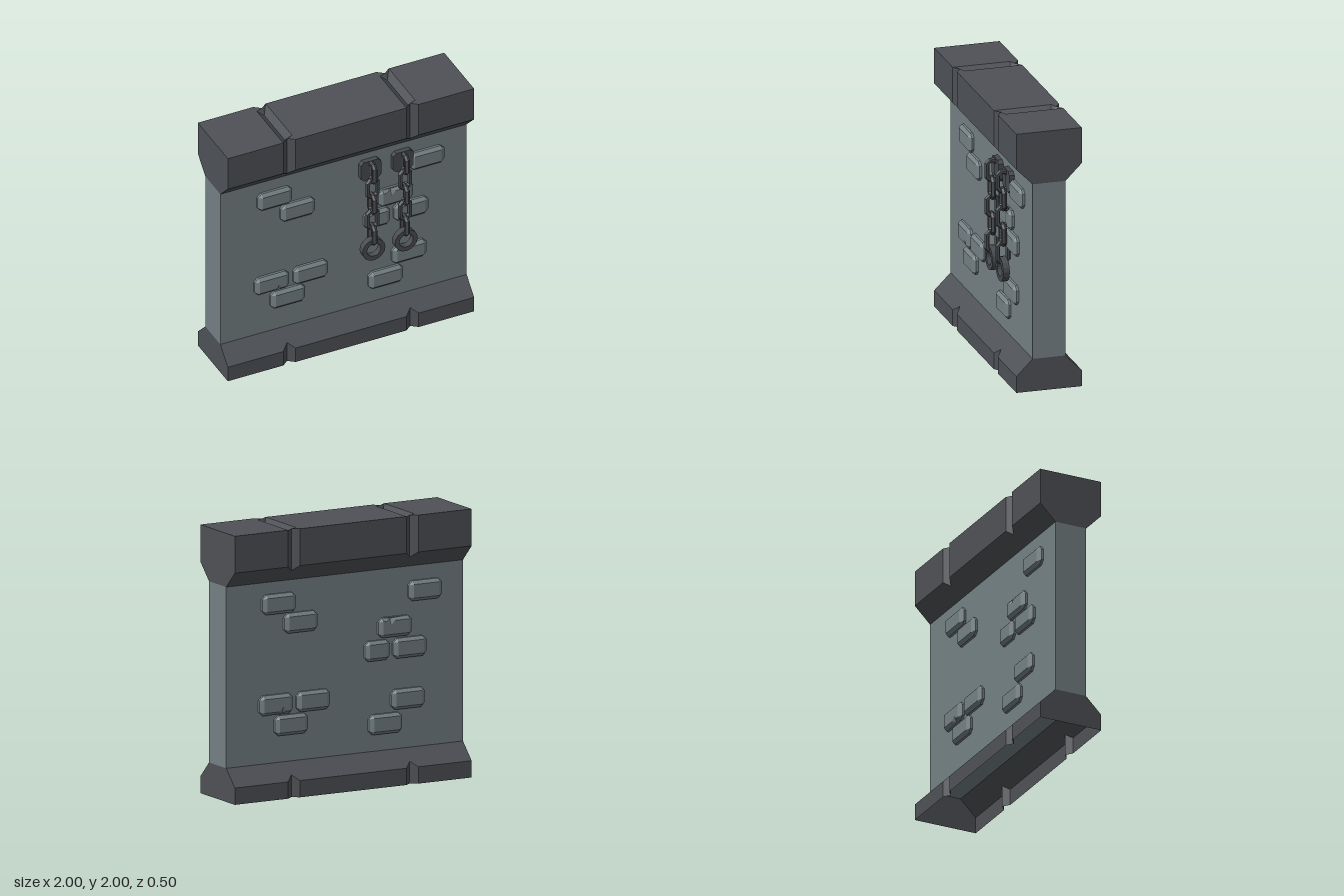
import * as THREE from 'three';

const wallStone = new THREE.MeshStandardMaterial({ color: 0x748084 });
const trimStone = new THREE.MeshStandardMaterial({ color: 0x4e5156, side: THREE.DoubleSide });
const iron = new THREE.MeshStandardMaterial({ color: 0x484b4f });

// Flat-shaded geometry from polygons (each a list of [x, y, z], counter-clockwise and convex)
function facets(polys) {
  const pos = [];
  for (const p of polys)
    for (let i = 1; i < p.length - 1; i++) pos.push(...p[0], ...p[i], ...p[i + 1]);
  const g = new THREE.BufferGeometry();
  g.setAttribute('position', new THREE.Float32BufferAttribute(pos, 3));
  g.computeVertexNormals();
  return g;
}

function flat(geometry) {
  const g = geometry.index ? geometry.toNonIndexed() : geometry;
  g.computeVertexNormals();
  return g;
}

function add(parent, name, geometry, material, x = 0, y = 0, z = 0) {
  const mesh = new THREE.Mesh(geometry, material);
  mesh.name = name;
  mesh.position.set(x, y, z);
  parent.add(mesh);
  return mesh;
}

// Front half of a trim course: a [z, y] profile swept along x, pinched at two grooves
function trimHalf(profile, hub) {
  const stations = [-1, -0.55, -0.5, -0.45, 0.45, 0.5, 0.55, 1];
  const rows = stations.map((x) => profile(Math.abs(x) === 0.5).map(([z, y]) => [x, y, z]));
  const polys = [];
  for (let i = 0; i < rows.length - 1; i++)
    for (let j = 0; j < rows[0].length - 1; j++)
      polys.push([rows[i][j], rows[i + 1][j], rows[i + 1][j + 1], rows[i][j + 1]]);
  // End faces
  const end = profile(false);
  if (end[end.length - 1][0] > 0) end.push([0, end[end.length - 1][1]]);
  for (let j = 0; j < end.length - 1; j++) {
    const [a, b] = [end[j], end[j + 1]];
    polys.push([[-1, hub, 0], [-1, a[1], a[0]], [-1, b[1], b[0]]]);
    polys.push([[1, hub, 0], [1, b[1], b[0]], [1, a[1], a[0]]]);
  }
  return facets(polys);
}

const capProfile = (groove) => {
  const d = groove ? 0.21 : 0.25;
  const top = groove ? 1.96 : 2;
  return [[0.125, 1.6], [d, 1.475 + d], [d, 2], [groove ? 0.17 : 0.19, top], [0, top]];
};
const baseProfile = (groove) => {
  const d = groove ? 0.21 : 0.25;
  return [[d, 0], [d, 0.375 - d], [0.125, 0.25]];
};

// Bevelled brick with clipped corners; chip is the x of a nick in the upper edge
function brickGeometry(w, chip) {
  const X = w / 2, Y = 0.075, c = 0.032, ix = X - 0.032, iy = Y - 0.024, zo = 0.018, zi = 0.04;
  const outline = [[-X + c, -Y], [X - c, -Y], [X, -Y + c], [X, Y - c],
    [X - c, Y], [-X + c, Y], [-X, Y - c], [-X, -Y + c]];
  const low = outline.map(([x, y]) => [x, y, 0]);
  const mid = outline.map(([x, y]) => [x, y, zo]);
  const top = [[-ix, -iy, zi], [ix, -iy, zi], [ix, iy, zi], [-ix, iy, zi]];
  const polys = [];
  for (let i = 0; i < 8; i++) {
    const n = (i + 1) % 8;
    polys.push([low[i], low[n], mid[n], mid[i]]);
    if (i % 2) polys.push([mid[i], mid[n], top[((i + 1) / 2) % 4]]);
    else if (i !== 4 || chip === undefined) polys.push([mid[i], mid[n], top[(i / 2 + 1) % 4], top[i / 2]]);
  }
  if (chip === undefined) polys.push(top);
  else {
    const A = [chip - 0.033, iy, zi], B = [chip + 0.033, iy, zi];
    const P = [chip, iy - 0.034, zi], C = [chip, Y - 0.008, zo];
    polys.push([mid[4], C, B, top[2]], [C, mid[5], top[3], A], [mid[4], mid[5], C]);
    polys.push([C, A, P], [C, P, B]);
    polys.push([P, top[0], top[1]], [P, top[1], top[2]], [P, top[2], B], [P, A, top[3]], [P, top[3], top[0]]);
  }
  return facets(polys);
}

// x, y, width, chip position, chip on lower edge
const bricks = [
  [-0.565, 1.435, 0.28], [-0.38, 1.28, 0.28], [0.67, 1.415, 0.28], [0.415, 1.165, 0.28, -0.045],
  [0.265, 1.0, 0.21], [0.54, 1.0, 0.28], [-0.59, 0.685, 0.28, 0.05, true], [-0.275, 0.685, 0.28],
  [-0.46, 0.525, 0.28], [0.525, 0.62, 0.28], [0.335, 0.45, 0.28],
];

// One face of the wall: trim halves and raised bricks
function wallSide(name) {
  const side = new THREE.Group();
  side.name = name;
  add(side, 'topTrim', trimHalf(capProfile, 1.6), trimStone);
  add(side, 'baseTrim', trimHalf(baseProfile, 0), trimStone);
  for (const [x, y, w, chip, lower] of bricks) {
    const g = brickGeometry(w, chip === undefined ? undefined : lower ? -chip : chip);
    if (lower) g.rotateZ(Math.PI);
    add(side, 'brick', g, wallStone, x, y, 0.125);
  }
  return side;
}

// Octagonal link stretched along y
function linkGeometry() {
  const g = new THREE.TorusGeometry(0.042, 0.02, 6, 8).rotateZ(Math.PI / 8);
  const p = g.attributes.position;
  for (let i = 0; i < p.count; i++) p.setY(i, p.getY(i) + Math.sign(p.getY(i)) * 0.034);
  return flat(g);
}

function plateGeometry() {
  const r = 0.083, c = 0.025;
  const s = new THREE.Shape([[-r + c, -r], [r - c, -r], [r, -r + c], [r, r - c],
    [r - c, r], [-r + c, r], [-r, r - c], [-r, -r + c]].map(([x, y]) => new THREE.Vector2(x, y)));
  return new THREE.ExtrudeGeometry(s, { depth: 0.038, bevelEnabled: false });
}

// Hanging chain: plate, alternating links and a shackle ring
function chain() {
  const group = new THREE.Group();
  group.name = 'chain';
  const z = 0.187;
  add(group, 'mountPlate', plateGeometry(), iron, 0, 1.462, 0.125);
  for (let i = 0; i < 5; i++) {
    const link = add(group, 'chainLink', linkGeometry(), iron, 0, 1.455 - i * 0.1375, z);
    if (i % 2 === 0) link.rotation.y = Math.PI / 2;
  }
  const section = [[0.056, -0.025], [0.093, -0.025], [0.093, 0.025], [0.056, 0.025], [0.056, -0.025]];
  const ring = new THREE.LatheGeometry(section.map(([r, y]) => new THREE.Vector2(r, y)), 16);
  add(group, 'shackleRing', flat(ring.rotateX(Math.PI / 2)), iron, 0, 0.777, z);
  return group;
}

export function createModel() {
  const model = new THREE.Group();
  model.name = 'dungeonWall';
  add(model, 'wallCore', new THREE.BoxGeometry(2, 1.35, 0.25), wallStone, 0, 0.925, 0);

  const front = wallSide('frontSide');
  const back = wallSide('backSide');
  back.rotation.y = Math.PI;
  model.add(front, back);

  for (const x of [0.205, 0.468]) {
    const c = chain();
    c.position.x = x;
    model.add(c);
  }
  return model;
}
